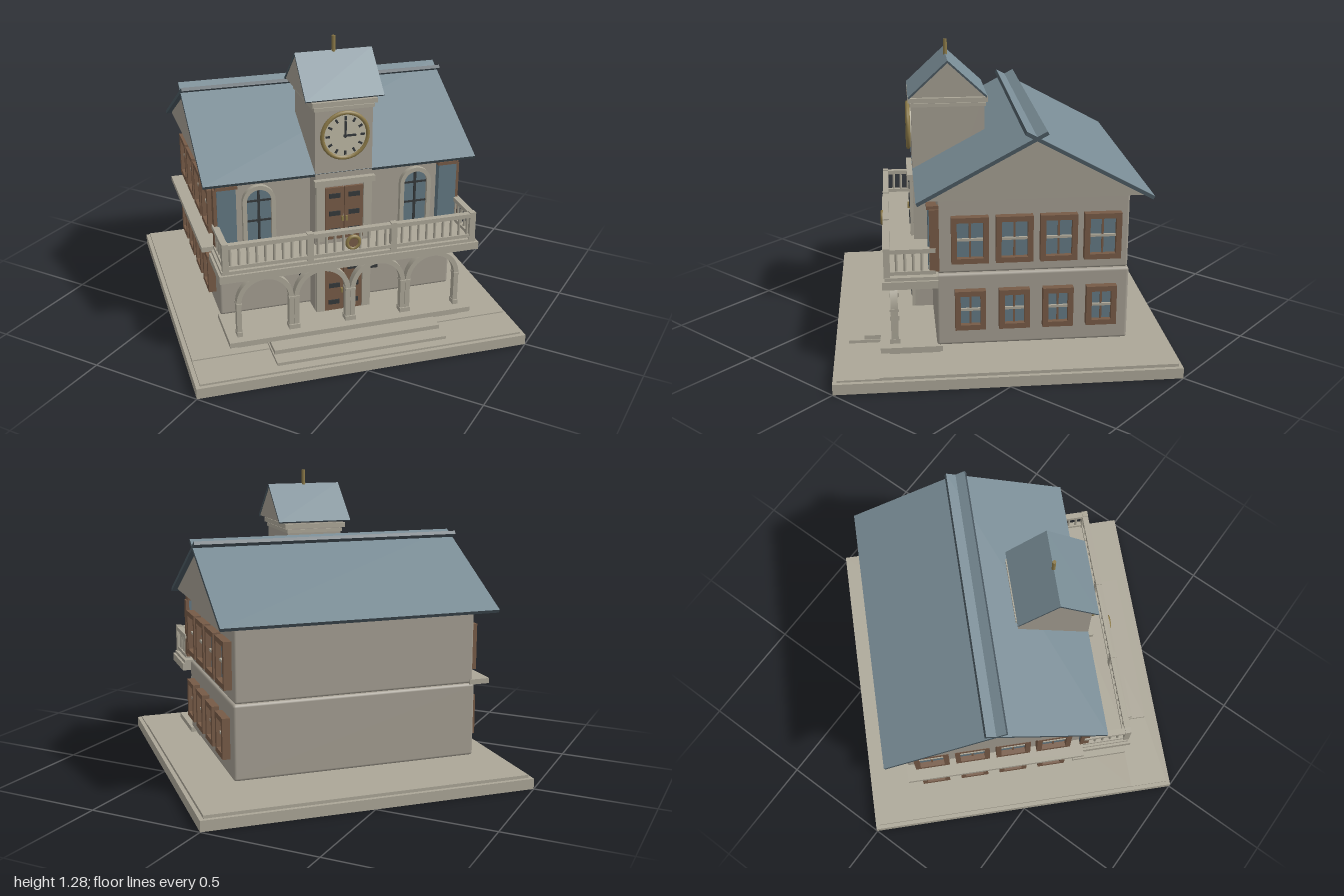
import * as THREE from 'three';
import { toCreasedNormals } from 'three/addons/utils/BufferGeometryUtils.js';
import { RoundedBoxGeometry } from 'three/addons/geometries/RoundedBoxGeometry.js';

const mat = (name, color) => {
  const m = new THREE.MeshStandardMaterial({ color });
  m.name = name;
  return m;
};
const M = {
  wall: mat('wall plaster', 0xa39d91),
  trim: mat('stone trim', 0xaba697),
  roof: mat('roof slate', 0x788b94),
  edge: mat('roof underside', 0x4a5860),
  glass: mat('window glass', 0x627782),
  wood: mat('brown wood', 0x765a46),
  dark: mat('dark iron', 0x34383a),
  gold: mat('old gold', 0x8c7a48),
  face: mat('clock face', 0xbdb7a4),
};

function add(parent, name, geo, material, x = 0, y = 0, z = 0) {
  const mesh = new THREE.Mesh(geo, material);
  mesh.name = name;
  mesh.position.set(x, y, z);
  parent.add(mesh);
  return mesh;
}
// Box given by its ranges on the three axes
function box(parent, name, m, x0, x1, y0, y1, z0, z1) {
  return add(parent, name, new THREE.BoxGeometry(x1 - x0, y1 - y0, z1 - z0), m,
    (x0 + x1) / 2, (y0 + y1) / 2, (z0 + z1) / 2);
}
function group(parent, name, x = 0, y = 0, z = 0, ry = 0) {
  const g = new THREE.Group();
  g.name = name;
  g.position.set(x, y, z);
  g.rotation.y = ry;
  parent.add(g);
  return g;
}
function extrude(shape, depth) {
  return toCreasedNormals(new THREE.ExtrudeGeometry(shape, { depth, bevelEnabled: false, curveSegments: 14 }), 0.6);
}
// Round-topped panel, or an open band when an inner radius is given
function archShape(R, spring, r = 0) {
  const s = new THREE.Shape();
  s.moveTo(-R, 0);
  s.lineTo(-R, spring);
  s.absarc(0, spring, R, Math.PI, 0, true);
  s.lineTo(R, 0);
  if (r) {
    s.lineTo(r, 0);
    s.lineTo(r, spring);
    s.absarc(0, spring, r, 0, Math.PI, false);
    s.lineTo(-r, 0);
  }
  return s;
}

// Gable prism with two slabs; slabs may run past the ridge and cross
function gableRoof(parent, name, halfX, halfZ, y0, y1, zc, over, t, inset) {
  const g = group(parent, name, 0, 0, zc);
  const tri = new THREE.Shape();
  const k = (y1 - y0) / halfZ;
  tri.moveTo(-halfZ + inset, y0);
  tri.lineTo(halfZ - inset, y0);
  tri.lineTo(0, y0 + (halfZ - inset) * k);
  const geo = extrude(tri, 2 * (halfX - inset));
  geo.rotateY(Math.PI / 2);
  geo.translate(-(halfX - inset), 0, 0);
  add(g, name + ' gable', geo, M.wall);
  const ang = Math.atan(k);
  const len = (halfZ + over) / Math.cos(ang);
  for (const s of [1, -1]) {
    const slab = group(g, name + ' slope', 0, 0, 0, s > 0 ? 0 : Math.PI);
    const tilt = group(slab, 'slab', 0, y1, 0);
    tilt.rotation.x = ang;
    add(tilt, 'slates', new THREE.BoxGeometry(2 * halfX, t, len),
      [M.edge, M.edge, M.roof, M.edge, M.edge, M.edge], 0, -t / 2, len / 2 - over / Math.cos(ang));
  }
  return g;
}

// Wooden sash window facing +z, centred on its group
function sashWindow(parent, w, h, x, y, z, ry) {
  const g = group(parent, 'sashWindow', x, y, z, ry);
  const a = w / 2, b = h / 2, f = 0.022, d = 0.035;
  box(g, 'glass', M.glass, -a + f, a - f, -b + f, b - f, 0, 0.012);
  for (const s of [-1, 1]) {
    const c = s * (a - f / 2);
    box(g, 'jamb', M.wood, c - f / 2, c + f / 2, -b, b, 0, d);
    const r = s * (b - f / 2);
    box(g, 'rail', M.wood, -a + f, a - f, r - f / 2, r + f / 2, 0, d);
  }
  box(g, 'mullion', M.wood, -0.004, 0.004, -b + f, b - f, 0.012, 0.018);
  box(g, 'meetingRail', M.trim, -a + f, a - f, -0.005, 0.005, 0.012, 0.022);
}

function archedWindow(parent, x, y, z) {
  const g = group(parent, 'archedWindow', x, y, z);
  add(g, 'frame', extrude(archShape(0.07, 0.18, 0.052), 0.025), M.trim);
  add(g, 'glass', extrude(archShape(0.052, 0.18), 0.009), M.glass);
  box(g, 'mullion', M.dark, -0.005, 0.005, 0, 0.23, 0.009, 0.015);
  for (const h of [0.09, 0.18]) box(g, 'bar', M.dark, -0.052, 0.052, h - 0.004, h + 0.004, 0.009, 0.014);
}

// Double door with iron straps, facing +z
function doubleDoor(parent, y, z) {
  const g = group(parent, 'doubleDoor', 0, y, z);
  for (const s of [-1, 1]) {
    const leaf = group(g, 'leaf', s * 0.042, 0, 0);
    box(leaf, 'panel', M.wood, -0.04, 0.04, 0, 0.235, 0, 0.012);
    for (const h of [0.03, 0.11, 0.19])
      box(leaf, 'strap', M.dark, -0.024, 0.024, h, h + 0.02, 0.012, 0.017);
    box(leaf, 'handle', M.gold, -s * 0.033 - 0.004, -s * 0.033 + 0.004, 0.085, 0.105, 0.012, 0.024);
    box(g, 'doorJamb', M.trim, s * 0.102 - 0.018, s * 0.102 + 0.018, -0.005, 0.26, 0, 0.014);
  }
  box(g, 'lintel', M.trim, -0.13, 0.13, 0.25, 0.275, 0, 0.024);
}

export function createModel() {
  const root = new THREE.Group();
  root.name = 'clockTowerHall';
  const hall = group(root, 'hall', 0, 0, 0, Math.PI / 4);

  // Ground slab, front walk and steps
  box(hall, 'base', M.trim, -0.707, 0.707, 0, 0.045, -0.707, 0.707);
  box(hall, 'yard', M.trim, -0.69, 0.69, 0.045, 0.058, -0.69, 0.52);
  box(hall, 'frontWalk', M.trim, -0.69, 0.69, 0.045, 0.053, 0.52, 0.69);
  box(hall, 'lowerStep', M.trim, -0.365, 0.365, 0.05, 0.066, 0.45, 0.65);
  box(hall, 'upperStep', M.trim, -0.36, 0.36, 0.058, 0.084, 0.45, 0.585);
  box(hall, 'porchFoot', M.trim, -0.49, 0.49, 0.058, 0.084, 0.27, 0.48);
  box(hall, 'porchFloor', M.trim, -0.53, 0.53, 0.083, 0.105, 0.26, 0.515);

  // Two storeys and main roof
  add(hall, 'lowerStorey', new RoundedBoxGeometry(1.046, 0.315, 0.79, 2, 0.012), M.wall, 0, 0.2625, -0.112);
  add(hall, 'upperStorey', new RoundedBoxGeometry(1.03, 0.34, 0.78, 2, 0.01), M.wall, 0, 0.59, -0.112);
  box(hall, 'sideLedge', M.trim, -0.59, -0.5, 0.415, 0.437, -0.507, 0.28);
  gableRoof(hall, 'mainRoof', 0.587, 0.473, 0.745, 1.0, -0.112, 0.04, 0.015, 0.022);

  // Four sash windows per storey on both ends
  for (const s of [-1, 1])
    for (let i = 0; i < 4; i++) {
      const z = -0.122 + (i - 1.5) * 0.179;
      sashWindow(hall, 0.15, 0.195, s * 0.513, 0.568, z, s * Math.PI / 2);
      sashWindow(hall, 0.125, 0.17, s * 0.52, 0.268, z, s * Math.PI / 2);
    }

  // Upper facade windows and porch lanterns
  for (const s of [-1, 1]) {
    archedWindow(hall, s * 0.345, 0.445, 0.275);
    box(hall, 'cornerWindow', M.glass, s * 0.485 - 0.04, s * 0.485 + 0.04, 0.44, 0.7, 0.27, 0.312);
    box(hall, 'cornerWindowCap', M.wood, s * 0.485 - 0.046, s * 0.485 + 0.046, 0.7, 0.714, 0.27, 0.318);
    box(hall, 'cornerWindowJamb', M.wood, s * 0.532 - 0.007, s * 0.532 + 0.007, 0.44, 0.7, 0.27, 0.308);
    box(hall, 'lantern', M.dark, s * 0.155 - 0.018, s * 0.155 + 0.018, 0.25, 0.33, 0.28, 0.315);
  }

  // Clock tower
  const tower = group(hall, 'tower');
  box(tower, 'towerShaft', M.wall, -0.122, 0.122, 0.105, 1.07, 0.05, 0.36);
  box(tower, 'lowerCornice', M.trim, -0.128, 0.128, 1.015, 1.03, 0.044, 0.366);
  box(tower, 'upperCornice', M.trim, -0.138, 0.138, 1.035, 1.055, 0.036, 0.374);
  gableRoof(tower, 'towerRoof', 0.165, 0.167, 1.065, 1.22, 0.207, 0, 0.008, 0.004);
  add(tower, 'finial', new THREE.CylinderGeometry(0.008, 0.008, 0.07, 10), M.gold, 0, 1.245, 0.207);
  doubleDoor(tower, 0.105, 0.36);
  doubleDoor(tower, 0.445, 0.36);

  // Clock showing three o'clock
  const clock = group(tower, 'clock', 0, 0.908, 0.36);
  const dial = new THREE.CylinderGeometry(0.097, 0.097, 0.016, 32);
  dial.rotateX(Math.PI / 2);
  add(clock, 'dial', dial, M.face, 0, 0, 0.008);
  add(clock, 'rim', new THREE.TorusGeometry(0.097, 0.009, 8, 32), M.gold, 0, 0, 0.014);
  for (let i = 0; i < 12; i++) {
    const a = i * Math.PI / 6;
    const mark = add(clock, 'hourMark', new THREE.BoxGeometry(0.009, 0.018, 0.004), M.dark,
      Math.sin(a) * 0.074, Math.cos(a) * 0.074, 0.017);
    mark.rotation.z = -a;
  }
  box(clock, 'minuteHand', M.dark, -0.004, 0.004, -0.008, 0.062, 0.016, 0.022);
  box(clock, 'hourHand', M.dark, -0.008, 0.045, -0.004, 0.004, 0.016, 0.022);

  // Arcade of four arches carrying the balcony
  const arch = extrude(archShape(0.1215, 0.148, 0.101), 0.03);
  for (let i = 0; i < 4; i++) {
    const x = (i - 1.5) * 0.245;
    add(hall, 'porchArch', arch, M.trim, x, 0.105, 0.44);
    for (const s of [-1, 1]) {
      const c = x + s * 0.111;
      box(hall, 'pillarFoot', M.trim, c - 0.0115, c + 0.0115, 0.105, 0.125, 0.434, 0.476);
      box(hall, 'pillarCap', M.trim, c - 0.0115, c + 0.0115, 0.248, 0.258, 0.435, 0.475);
    }
  }

  // Balcony slab and balustrade
  const balcony = group(hall, 'balcony');
  box(balcony, 'balconySlab', M.trim, -0.56, 0.56, 0.375, 0.408, 0.275, 0.5);
  box(balcony, 'balconyLip', M.trim, -0.55, 0.55, 0.408, 0.422, 0.275, 0.49);
  for (const [y0, y1, h] of [[0.43, 0.445, 0.01], [0.522, 0.54, 0.013]]) {
    box(balcony, 'frontRail', M.trim, -0.545, 0.545, y0, y1, 0.48 - h, 0.48 + h);
    for (const s of [-1, 1])
      box(balcony, 'sideRail', M.trim, s * 0.532 - h, s * 0.532 + h, y0, y1, 0.285, 0.48 - h);
  }
  const baluster = new THREE.CylinderGeometry(0.006, 0.006, 0.08, 8);
  for (let i = -14; i <= 14; i++) add(balcony, 'baluster', baluster, M.trim, i * 0.0365, 0.483, 0.48);
  for (const s of [-1, 1]) {
    for (let i = 0; i < 5; i++) add(balcony, 'baluster', baluster, M.trim, s * 0.532, 0.483, 0.305 + i * 0.034);
    for (const x of [0.532, 0.18])
      box(balcony, 'railPost', M.trim, s * x - 0.013, s * x + 0.013, 0.42, 0.545, 0.467, 0.493);
  }

  // Round ornament at the middle of the balustrade
  add(balcony, 'wreath', new THREE.TorusGeometry(0.026, 0.008, 8, 20), M.gold, 0, 0.485, 0.497);
  const boss = new THREE.CylinderGeometry(0.022, 0.022, 0.012, 20);
  boss.rotateX(Math.PI / 2);
  add(balcony, 'boss', boss, M.wood, 0, 0.485, 0.495);
  return root;
}
